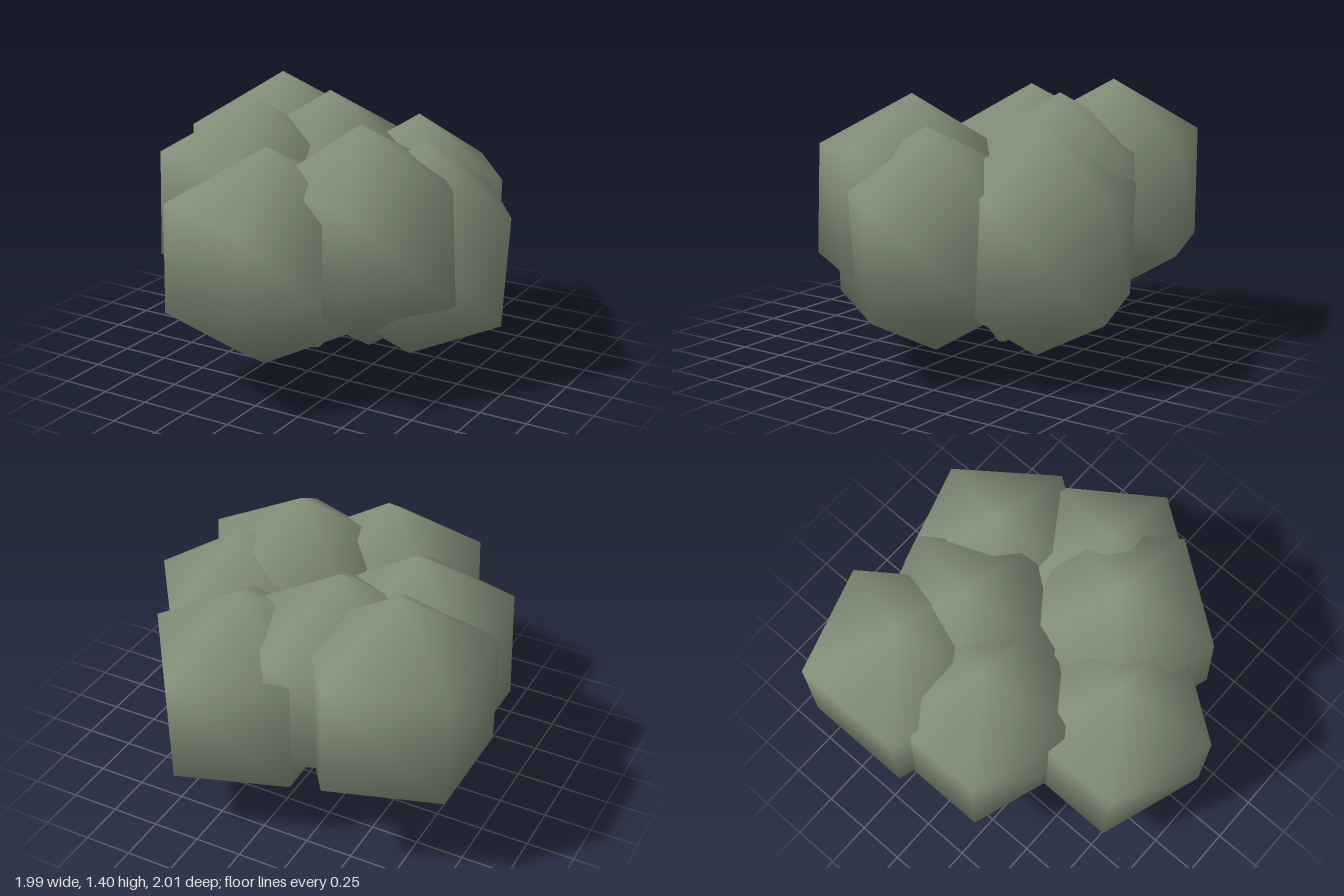
import * as THREE from 'three';

const leafMat = new THREE.MeshStandardMaterial({ color: 0x84917a });
leafMat.name = 'sage green foliage';
const stemMat = new THREE.MeshStandardMaterial({ color: 0x848c73 });
stemMat.name = 'dull green stem';

// Leaf clumps: centre x, y, z, then lean about x and z
const CLUMPS = [
  [-0.08, 0.70, 0.52, 0.01, -0.03],
  [0.22, 0.665, -0.52, -0.04, 0.0],
  [0.482, 0.67, -0.04, 0.0, -0.06],
  [-0.585, 0.82, -0.455, 0.0, 0.0],
  [-0.49, 0.775, -0.01, 0.0, -0.03],
  [-0.22, 0.78, -0.35, 0.0, 0.0],
  [0.32, 0.79, 0.22, 0.0, 0.05],
];
const ROOT = new THREE.Vector3(-0.14, 0.012, -0.055);

// Thin straight stem from the root to the middle of a clump
function makeStem(target) {
  const dir = target.clone().sub(ROOT);
  const out = new THREE.Vector3(dir.x, 0, dir.z).setLength(0.014);
  const start = ROOT.clone().add(out);
  const path = target.clone().sub(start);
  const stem = new THREE.Mesh(new THREE.CylinderGeometry(0.02, 0.02, path.length(), 6), stemMat);
  stem.position.copy(start).addScaledVector(path, 0.5);
  stem.quaternion.setFromUnitVectors(new THREE.Vector3(0, 1, 0), path.normalize());
  stem.name = 'stem';
  return stem;
}

export function createModel() {
  const bush = new THREE.Group();
  bush.name = 'bush';

  // Coarse smooth-shaded ball with five sides and two rings
  const clumpGeo = new THREE.SphereGeometry(0.58, 5, 3, Math.PI);

  for (const [x, y, z, leanX, leanZ] of CLUMPS) {
    const clump = new THREE.Mesh(clumpGeo, leafMat);
    clump.position.set(x, y, z);
    clump.rotation.set(leanX, 0, leanZ);
    clump.name = 'leafClump';
    bush.add(clump, makeStem(clump.position));
  }
  return bush;
}
